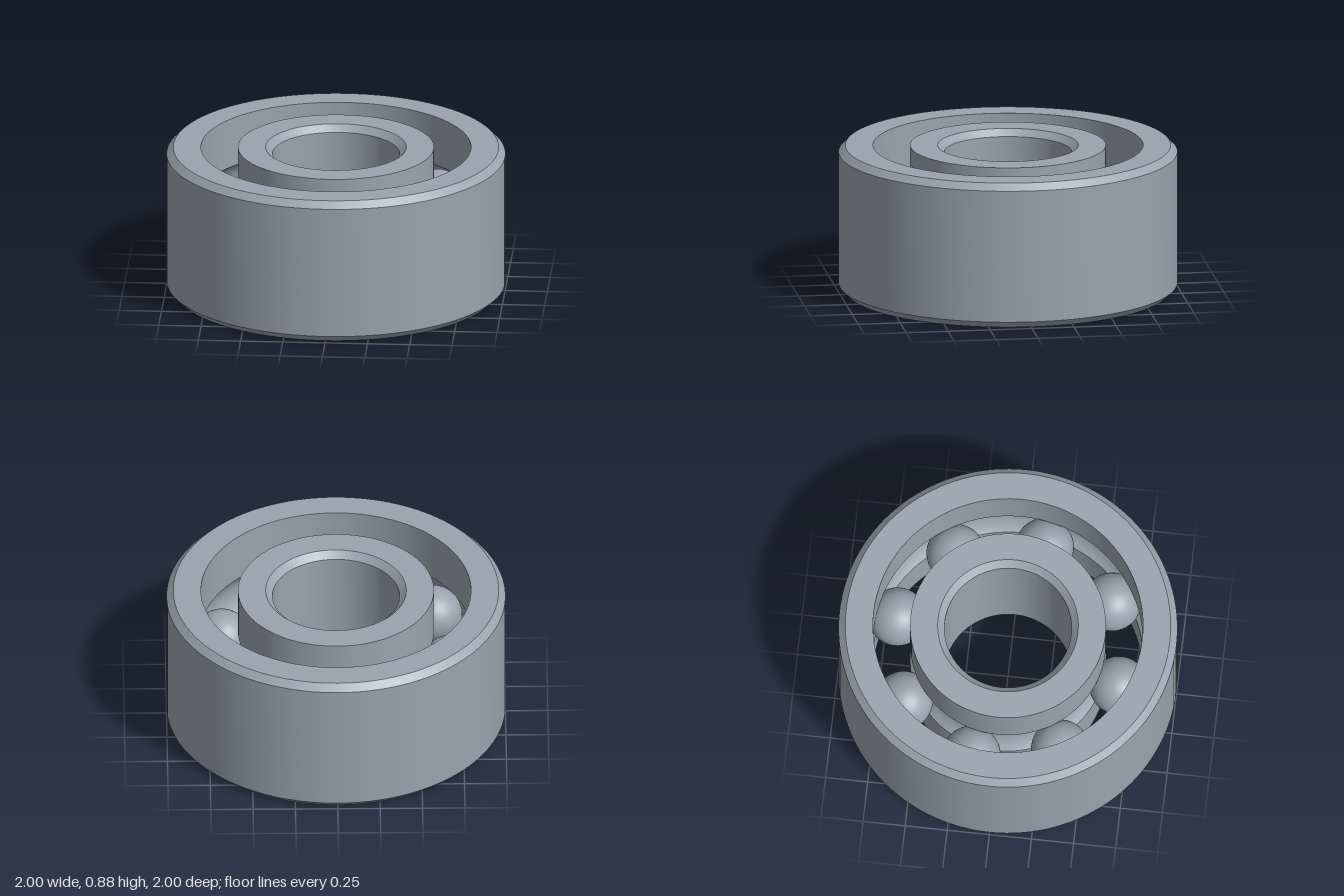
import * as THREE from 'three';
import { toCreasedNormals } from 'three/addons/utils/BufferGeometryUtils.js';

const HEIGHT = 0.875, MID = HEIGHT / 2, CHAMFER = 0.04;
const OUTER = 1, OUTER_WALL = 0.797, INNER_WALL = 0.578, BORE = 0.375;
const PITCH = (OUTER_WALL + INNER_WALL) / 2;
const BALL = 0.173, GROOVE = 0.176, BALLS = 8;

// Race groove arc around the ball centre; side +1 cuts the outer ring, -1 the inner ring.
// The arc always runs in the direction that keeps the ring's surface facing outwards.
function groove(side, wall) {
  const half = Math.acos(Math.abs(wall - PITCH) / GROOVE);
  const points = [];
  for (let i = 0; i <= 12; i++) {
    const a = half * (1 - i / 6);
    points.push([PITCH + side * GROOVE * Math.cos(a), MID + side * GROOVE * Math.sin(a)]);
  }
  return points;
}

// Closed profile turned around the y axis, with sharp edges kept
function ring(name, profile, material) {
  const points = [...profile, profile[0]].map(([r, y]) => new THREE.Vector2(r, y));
  const mesh = new THREE.Mesh(toCreasedNormals(new THREE.LatheGeometry(points, 128), 0.45), material);
  mesh.name = name;
  return mesh;
}

export function createModel() {
  const model = new THREE.Group();
  model.name = 'ballBearing';
  const steel = new THREE.MeshStandardMaterial({ color: 0x9ca3af });
  steel.name = 'steel';

  // Outer ring: chamfered rim outside, grooved wall inside
  model.add(ring('outerRing', [
    [OUTER_WALL, 0], [OUTER - CHAMFER, 0], [OUTER, CHAMFER],
    [OUTER, HEIGHT - CHAMFER], [OUTER - CHAMFER, HEIGHT], [OUTER_WALL, HEIGHT],
    ...groove(1, OUTER_WALL),
  ], steel));

  // Inner ring: grooved wall outside, chamfered bore inside
  model.add(ring('innerRing', [
    [BORE + CHAMFER, 0], [INNER_WALL, 0],
    ...groove(-1, INNER_WALL),
    [INNER_WALL, HEIGHT], [BORE + CHAMFER, HEIGHT],
    [BORE, HEIGHT - CHAMFER], [BORE, CHAMFER],
  ], steel));

  // Balls evenly spaced between the two races
  const balls = new THREE.Group();
  balls.name = 'balls';
  const sphere = new THREE.SphereGeometry(BALL, 40, 24);
  for (let i = 0; i < BALLS; i++) {
    const a = THREE.MathUtils.degToRad(12) + (i / BALLS) * Math.PI * 2;
    const ball = new THREE.Mesh(sphere, steel);
    ball.name = `ball${i + 1}`;
    ball.position.set(PITCH * Math.sin(a), MID, -PITCH * Math.cos(a));
    balls.add(ball);
  }
  model.add(balls);
  return model;
}
